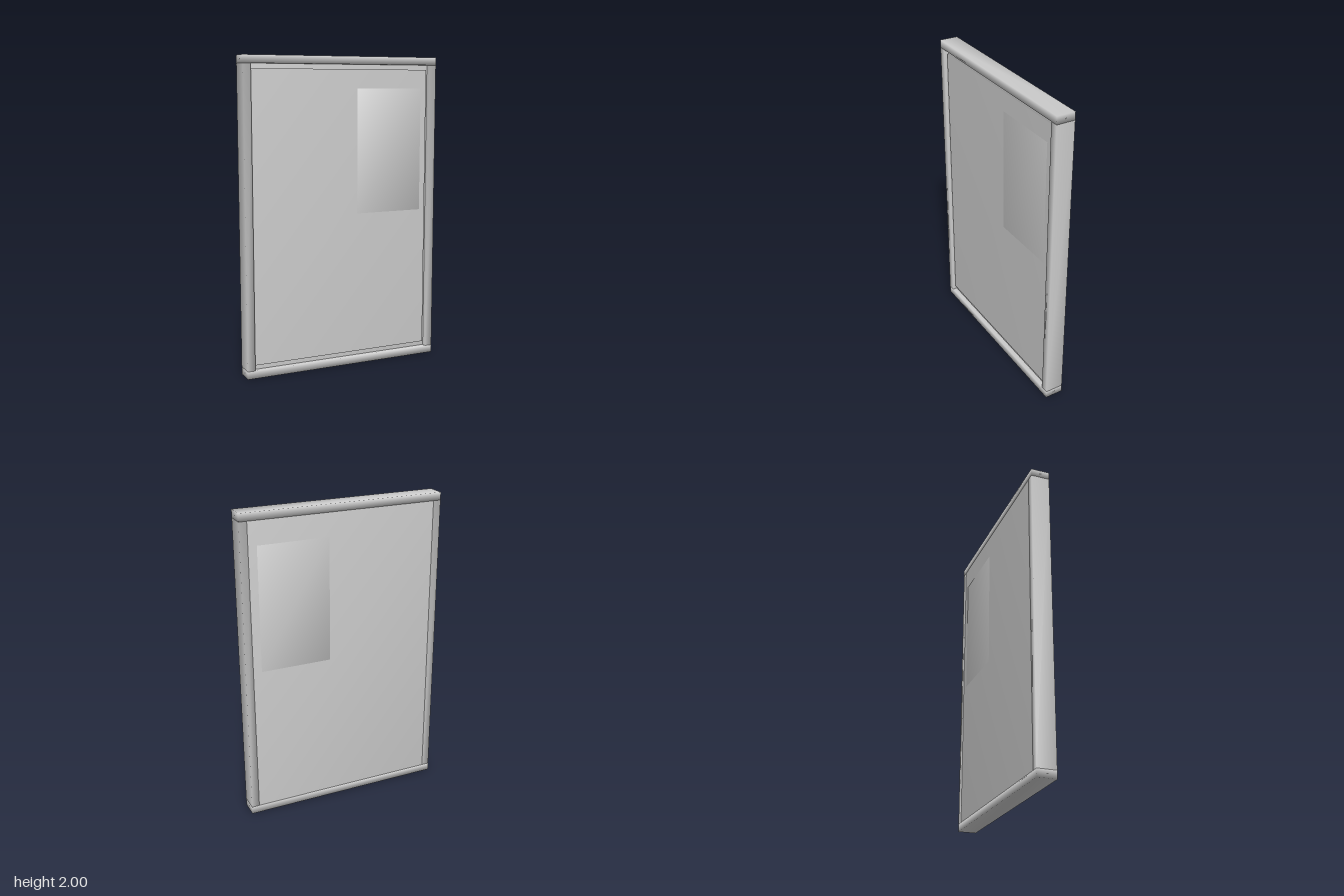
import * as THREE from 'three';
import { mergeVertices } from 'three/addons/utils/BufferGeometryUtils.js';

const material = new THREE.MeshStandardMaterial({ color: 0xcccccc });

// Box from its limits, with corner normals shared so the shading rolls over the edges
function slab(name, [x0, x1], [y0, y1], [z0, z1]) {
  let geometry = new THREE.BoxGeometry(x1 - x0, y1 - y0, z1 - z0);
  geometry.deleteAttribute('uv');
  geometry.deleteAttribute('normal');
  geometry = mergeVertices(geometry);
  geometry.computeVertexNormals();
  const mesh = new THREE.Mesh(geometry, material);
  mesh.name = name;
  mesh.position.set((x0 + x1) / 2, (y0 + y1) / 2, (z0 + z1) / 2);
  return mesh;
}

export function createModel() {
  const model = new THREE.Group();
  model.name = 'framedDoor';
  const W = 0.665, H = 2, D = 0.06, bar = 0.05;

  // Outer frame: full-width rails with stiles between them
  const frame = new THREE.Group();
  frame.name = 'frame';
  frame.add(
    slab('topRail', [-W, W], [H - bar, H], [-D, D]),
    slab('bottomRail', [-W, W], [0, bar], [-D, D]),
    slab('leftStile', [W - bar, W], [bar, H - bar], [-D, D]),
    slab('rightStile', [-W, -W + bar], [bar, H - bar], [-D, D])
  );
  model.add(frame);

  // Backing sheet nearly flush with the rear of the frame
  model.add(slab('backSheet', [-0.63, 0.63], [0.03, 1.97], [-0.059, 0.03]));

  // Slightly raised front panel with a narrow reveal around it
  model.add(slab('frontPanel', [-0.605, 0.6], [0.08, 1.92], [0, 0.044]));

  // Window pane passing through the door
  model.add(slab('windowPane', [0.1, 0.56], [1, 1.8], [-0.0598, 0.046]));

  return model;
}
